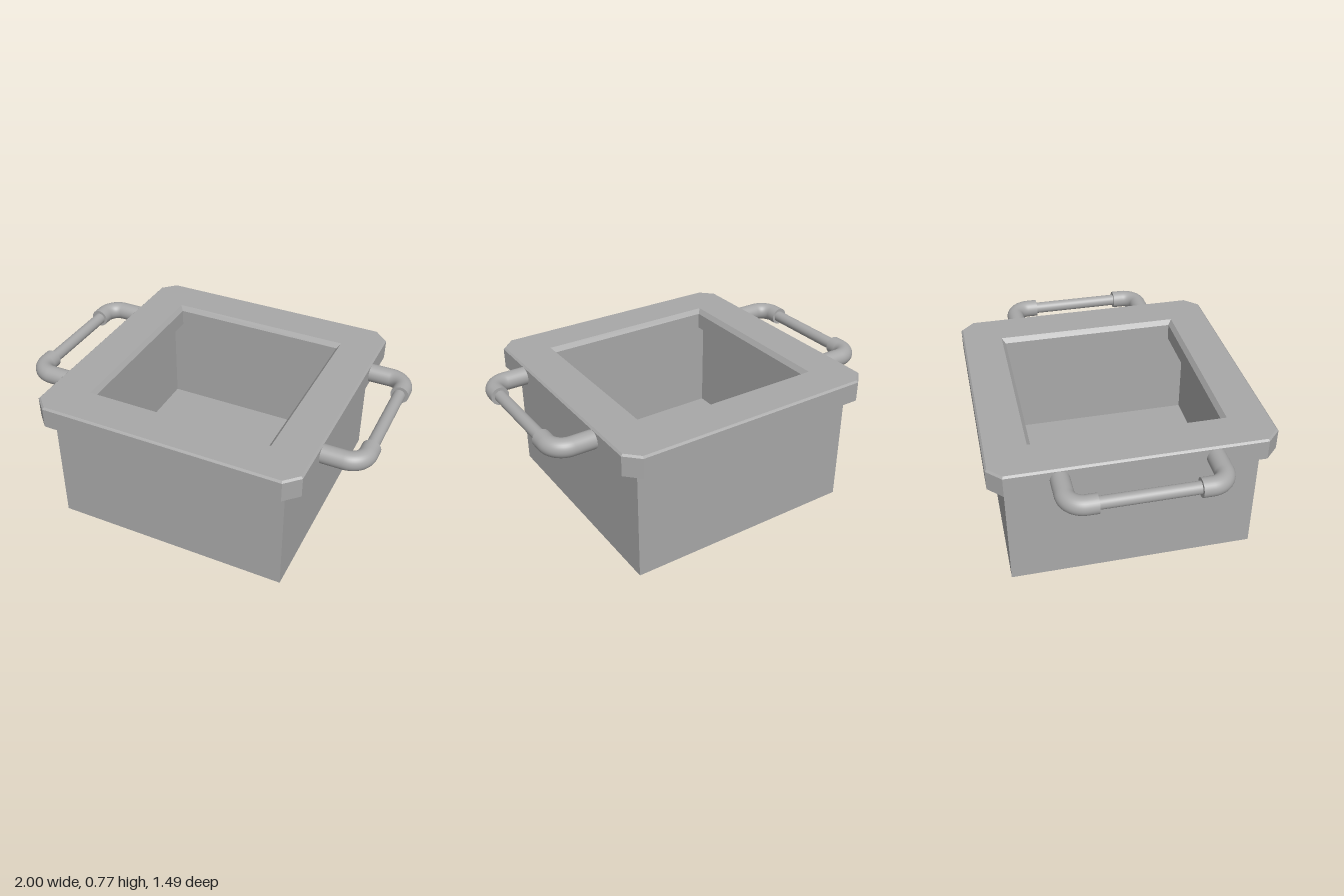
import * as THREE from 'three';

// Flat-shaded loft through square rings. Each ring is [half width, corner cut, y].
function loftSquares(rings) {
  const loops = rings.map(([h, c, y]) => [
    [h, -h + c], [h, h - c], [h - c, h], [-h + c, h],
    [-h, h - c], [-h, -h + c], [-h + c, -h], [h - c, -h],
  ].map(([x, z]) => new THREE.Vector3(x, y, z)));
  const positions = [];
  const addTriangle = (a, b, c) => {
    if (new THREE.Triangle(a, b, c).getArea() < 1e-8) return; // collapsed corner
    for (const p of [a, b, c]) positions.push(p.x, p.y, p.z);
  };
  for (let i = 0; i < loops.length - 1; i++) {
    for (let j = 0; j < 8; j++) {
      const k = (j + 1) % 8;
      const a = loops[i][j], b = loops[i][k], c = loops[i + 1][k], d = loops[i + 1][j];
      addTriangle(a, d, c);
      addTriangle(a, c, b);
    }
  }
  const geometry = new THREE.BufferGeometry();
  geometry.setAttribute('position', new THREE.Float32BufferAttribute(positions, 3));
  geometry.computeVertexNormals();
  return geometry;
}

// Elbow running out from the rim and turning along z; side is +1 or -1.
function elbowCurve(side) {
  const x0 = 0.73, x1 = 0.95, z0 = 0.395, z1 = 0.25, r = 0.09, k = r * 0.448;
  const p = (x, z) => new THREE.Vector3(x, 0, z * side);
  const path = new THREE.CurvePath();
  path.add(new THREE.LineCurve3(p(x0, z0), p(x1 - r, z0)));
  path.add(new THREE.CubicBezierCurve3(p(x1 - r, z0), p(x1 - k, z0), p(x1, z0 - k), p(x1, z0 - r)));
  path.add(new THREE.LineCurve3(p(x1, z0 - r), p(x1, z1)));
  return path;
}

export function createModel() {
  const metal = new THREE.MeshStandardMaterial({ color: 0xa8a8a8 });
  metal.name = 'grey metal';
  const model = new THREE.Group();
  model.name = 'handledBox';

  const addMesh = (parent, name, geometry) => {
    const mesh = new THREE.Mesh(geometry, metal);
    mesh.name = name;
    parent.add(mesh);
    return mesh;
  };

  // Hollow thin-walled body with a closed floor
  const body = addMesh(model, 'body', loftSquares([
    [0, 0, 0], [0.66, 0, 0], [0.66, 0, 0.65],
    [0.64, 0, 0.65], [0.64, 0, 0.02], [0, 0, 0.02],
  ]));
  body.scale.z = 1.008;

  // Wide rim with cut corners and bevelled outer and inner edges
  addMesh(model, 'rim', loftSquares([
    [0.5, 0, 0.65], [0.745, 0.075, 0.65], [0.745, 0.075, 0.76], [0.735, 0.069, 0.77],
    [0.52, 0, 0.77], [0.5, 0, 0.743], [0.5, 0, 0.65],
  ]));

  // Side handles: two thick elbows joined by a thinner bar
  for (const [name, turn] of [['leftHandle', 0], ['rightHandle', Math.PI]]) {
    const handle = new THREE.Group();
    handle.name = name;
    handle.position.y = 0.71;
    handle.rotation.y = turn;
    for (const side of [1, -1]) {
      addMesh(handle, 'elbow', new THREE.TubeGeometry(elbowCurve(side), 40, 0.05, 32));
      const cap = addMesh(handle, 'elbowEnd', new THREE.CircleGeometry(0.05, 32));
      cap.position.set(0.95, 0, side * 0.25);
      cap.rotation.y = side > 0 ? Math.PI : 0;
    }
    const bar = addMesh(handle, 'gripBar', new THREE.CylinderGeometry(0.033, 0.033, 0.52, 32));
    bar.rotation.x = Math.PI / 2;
    bar.position.x = 0.948;
    model.add(handle);
  }
  return model;
}
